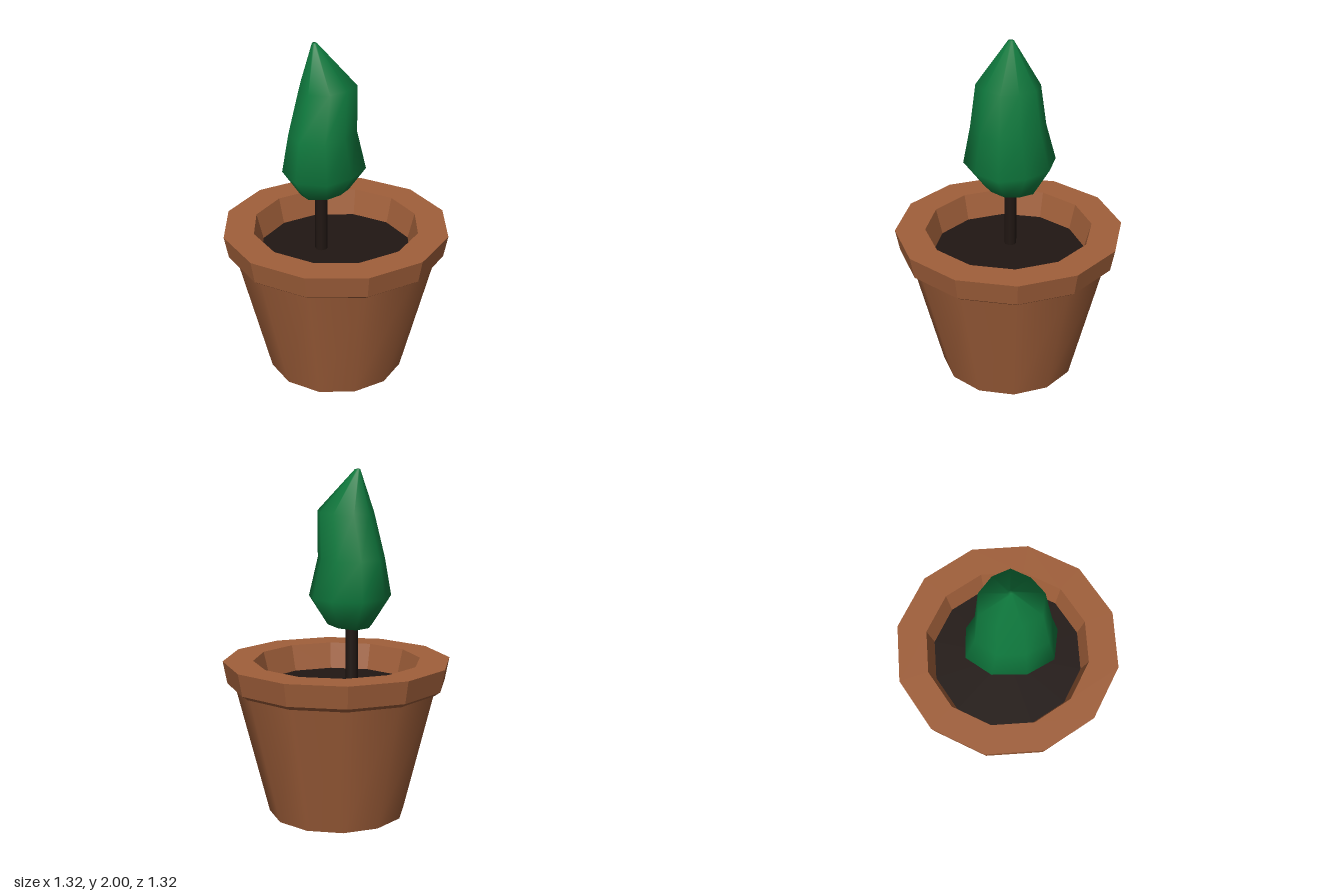
import * as THREE from 'three';

const SIDES = 12;

function add(group, name, geometry, color, flat = false) {
  const mesh = new THREE.Mesh(geometry, new THREE.MeshStandardMaterial({ color, flatShading: flat }));
  mesh.name = name;
  group.add(mesh);
  return mesh;
}

// Skin a stack of horizontal rings, closed at both ends.
function skin(outline, rings) {
  const n = outline.length, pos = [], index = [];
  for (const { x, y, z, s, tilt = 0 } of rings)
    for (const [px, pz] of outline) pos.push(x + px * s, y + px * s * tilt, z + pz * s);
  for (let r = 0; r < rings.length - 1; r++)
    for (let i = 0; i < n; i++) {
      const a = r * n + i, b = r * n + (i + 1) % n;
      index.push(a, a + n, b, b, a + n, b + n);
    }
  for (const [r, top] of [[0, false], [rings.length - 1, true]]) {
    const c = pos.length / 3, { x, y, z } = rings[r];
    pos.push(x, y + (top ? 0 : 0.012), z);
    for (let i = 0; i < n; i++) {
      const a = r * n + i, b = r * n + (i + 1) % n;
      if (top) index.push(a, c, b); else index.push(a, b, c);
    }
  }
  const g = new THREE.BufferGeometry();
  g.setAttribute('position', new THREE.Float32BufferAttribute(pos, 3));
  g.setIndex(index);
  g.computeVertexNormals();
  return g;
}

export function createModel() {
  const group = new THREE.Group();
  group.name = 'pottedTree';
  const clay = 0xa05f3a, dark = 0x211713, green = 0x0f7a3e;

  // Tapered pot wall with its base
  const wall = add(group, 'potWall', new THREE.CylinderGeometry(0.59, 0.4, 0.76, SIDES, 1, true), clay);
  wall.position.y = 0.38;
  add(group, 'potBase', new THREE.CircleGeometry(0.4, SIDES).rotateX(Math.PI / 2), clay);

  // Faceted rim: bevelled underside, outer band, top and inner wall
  const profile = [[0.58, 0.75], [0.6, 0.755], [0.635, 0.78], [0.66, 0.91], [0.485, 0.91], [0.445, 0.755]]
    .map(([r, y]) => new THREE.Vector2(r, y));
  add(group, 'potRim', new THREE.LatheGeometry(profile, SIDES), clay, true);

  // Soil
  const soil = add(group, 'soil', new THREE.CircleGeometry(0.446, SIDES).rotateX(-Math.PI / 2), dark);
  soil.position.y = 0.757;

  // Trunk
  const trunk = add(group, 'trunk', new THREE.CylinderGeometry(0.036, 0.036, 0.45, 8), dark);
  trunk.position.set(-0.055, 0.965, 0.065);

  // Foliage: one irregular outline, scaled and shifted up to an off-centre tip
  const outline = [
    [-0.24, -0.125], [-0.11, -0.24], [0.06, -0.25], [0.2, -0.185], [0.245, -0.02],
    [0.22, 0.145], [0.075, 0.245], [-0.09, 0.19], [-0.22, 0.045],
  ].reverse();
  // order the corners so that the faces look outward
  outline.reverse();
  add(group, 'foliage', skin(outline, [
    { x: -0.055, y: 1.125, z: 0.065, s: 0.58, tilt: 0.1 },
    { x: -0.06, y: 1.28, z: 0.085, s: 1, tilt: -0.02 },
    { x: -0.055, y: 1.5, z: 0.09, s: 0.81 },
    { x: -0.035, y: 1.76, z: 0.06, s: 0.68, tilt: 0.04 },
    { x: -0.075, y: 2, z: 0.09, s: 0.06 },
  ]), green);

  return group;
}
